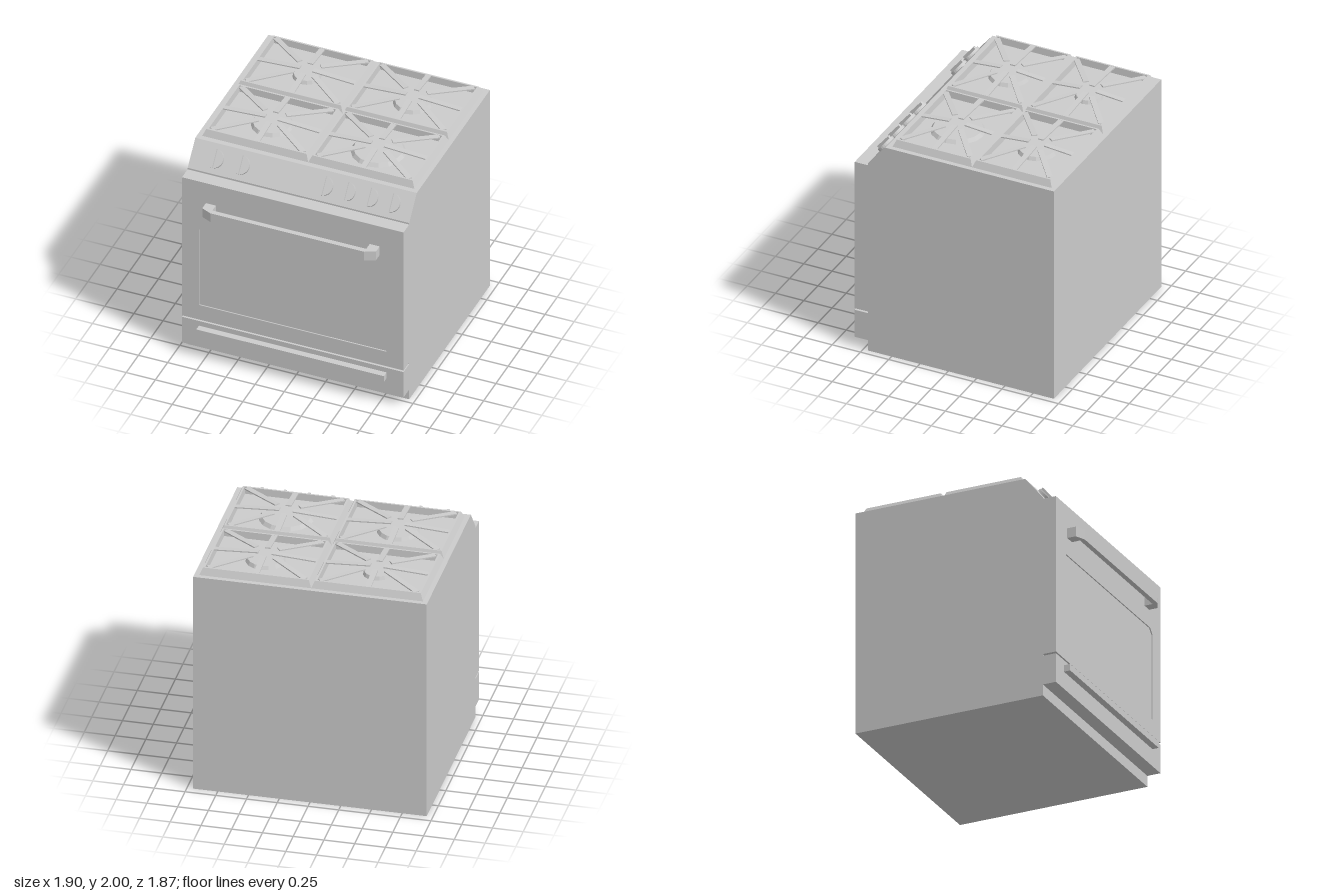
import * as THREE from 'three';

const metal = new THREE.MeshStandardMaterial({ color: 0xcccccc, flatShading: true });
const TOP = 1.92; // height of the cooktop

function add(parent, name, geometry, x = 0, y = 0, z = 0) {
  const mesh = new THREE.Mesh(geometry, metal);
  mesh.name = name;
  mesh.position.set(x, y, z);
  parent.add(mesh);
  return mesh;
}

const shapeOf = (pts) => new THREE.Shape(pts.map(([x, y]) => new THREE.Vector2(x, y)));
const extrude = (shape, depth) => new THREE.ExtrudeGeometry(shape, { depth, bevelEnabled: false });

// Rectangular ring swept from a cross-section of [inset, height] pairs
function rectRing(w, d, section) {
  const corners = [[-1, -1], [-1, 1], [1, 1], [1, -1]];
  const pos = [], idx = [];
  for (const [inset, y] of section)
    for (const [sx, sz] of corners) pos.push(sx * (w / 2 - inset), y, sz * (d / 2 - inset));
  for (let i = 0; i < section.length - 1; i++)
    for (let j = 0; j < 4; j++) {
      const k = (j + 1) % 4, a = i * 4 + j, b = i * 4 + k, c = a + 4, e = b + 4;
      idx.push(a, b, e, a, e, c);
    }
  const g = new THREE.BufferGeometry();
  g.setAttribute('position', new THREE.Float32BufferAttribute(pos, 3));
  g.setIndex(idx);
  const flat = g.toNonIndexed();
  flat.computeVertexNormals();
  return flat;
}

// Flat bar between two points
function bar(parent, name, from, to, width, thickness) {
  const a = new THREE.Vector3(...from), b = new THREE.Vector3(...to);
  const mesh = add(parent, name, new THREE.BoxGeometry(width, thickness, a.distanceTo(b)));
  mesh.position.copy(a).add(b).multiplyScalar(0.5);
  mesh.lookAt(b);
}

// Burner cap with a tapered frame and eight rising fingers
function burnerUnit(parent, cx, cz, w, d, radius) {
  const unit = new THREE.Group();
  unit.name = 'burnerUnit';
  parent.add(unit);
  add(unit, 'burner', new THREE.CylinderGeometry(radius * 0.9, radius, 0.03, 16), cx, TOP + 0.015, cz);
  add(unit, 'grateFrame', rectRing(w, d, [[0, TOP], [0.025, 1.978], [0.04, 1.978], [0.045, TOP]]), cx, 0, cz);
  const yOut = 1.972, yIn = 1.994;
  const finger = (ox, oz, ix, iz) =>
    bar(unit, 'grateFinger', [cx + ox, yOut, cz + oz], [cx + ix, yIn, cz + iz], 0.046, 0.01);
  for (const s of [-1, 1]) {
    finger(s * (w / 2 - 0.03), 0, s * 0.055, 0);
    finger(0, s * (d / 2 - 0.03), 0, s * 0.07);
    for (const t of [-1, 1]) finger(s * (w / 2 - 0.06), t * (d / 2 - 0.045), s * 0.09, t * 0.07);
  }
}

// Knob lying on the sloped panel
function knob(parent, x, tilt) {
  const g = new THREE.Group();
  g.name = 'knob';
  g.position.set(x, 1.825, 0.6325);
  g.rotation.x = tilt;
  parent.add(g);
  add(g, 'knobDisc', new THREE.CylinderGeometry(0.078, 0.078, 0.025, 24), 0, 0.0115, 0);
  add(g, 'knobGrip', new THREE.BoxGeometry(0.022, 0.022, 0.152), 0, 0.033, 0);
}

export function createModel() {
  const model = new THREE.Group();
  model.name = 'stove';

  // Cabinet: side profile swept across the width
  const profile = shapeOf([[0.935, 0], [0.935, TOP], [-0.555, TOP], [-0.71, 1.73], [-0.71, 0]]);
  const cabinet = extrude(profile, 1.9);
  cabinet.translate(0, 0, -0.95);
  cabinet.rotateY(Math.PI / 2);
  add(model, 'cabinet', cabinet);

  // Oven door with a shallow recessed window
  add(model, 'doorCore', new THREE.BoxGeometry(1.9, 1.355, 0.105), 0, 1.0375, 0.7625);
  const skin = shapeOf([[-0.95, 0.36], [0.95, 0.36], [0.95, 1.715], [-0.95, 1.715]]);
  skin.holes.push(shapeOf([
    [-0.803, 0.503], [-0.803, 1.243], [-0.762, 1.286], [0.762, 1.286], [0.803, 1.243], [0.803, 0.503],
  ]));
  add(model, 'doorFrame', extrude(skin, 0.01), 0, 0, 0.815);

  // Door handle: bar with chamfered ends and two posts
  const handle = extrude(shapeOf([
    [-0.745, -0.82], [-0.745, -0.9], [-0.66, -0.938], [0.66, -0.938], [0.745, -0.9], [0.745, -0.82],
    [0.66, -0.82], [0.66, -0.896], [-0.66, -0.896], [-0.66, -0.82],
  ]), 0.085);
  handle.rotateX(-Math.PI / 2);
  add(model, 'doorHandle', handle, 0, 1.435, 0);

  // Storage drawer
  add(model, 'drawer', new THREE.BoxGeometry(1.9, 0.25, 0.115), 0, 0.22, 0.7675);
  add(model, 'drawerHandle', new THREE.BoxGeometry(1.61, 0.056, 0.06), 0, 0.272, 0.85);

  // Control knobs
  const tilt = Math.atan2(0.19, 0.155);
  for (const x of [-0.75, -0.527, 0.188, 0.38, 0.575, 0.765]) knob(model, x, tilt);

  // Four burners
  burnerUnit(model, -0.455, -0.543, 0.91, 0.704, 0.115);
  burnerUnit(model, 0.455, -0.543, 0.91, 0.704, 0.16);
  burnerUnit(model, -0.455, 0.16, 0.91, 0.702, 0.17);
  burnerUnit(model, 0.455, 0.16, 0.91, 0.702, 0.22);

  return model;
}
